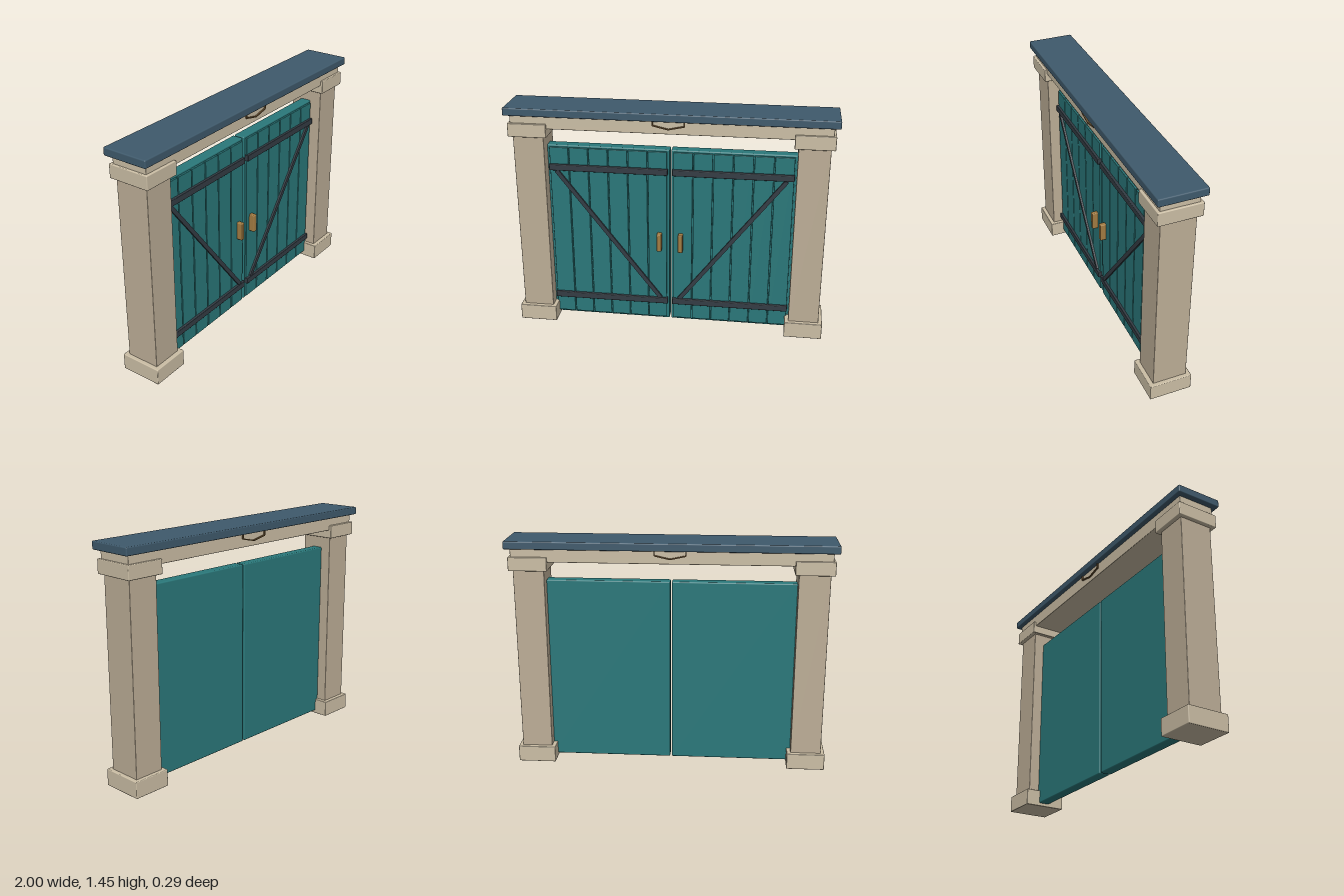
import * as THREE from 'three';
import { RoundedBoxGeometry } from 'three/addons/geometries/RoundedBoxGeometry.js';

const mat = (color) => new THREE.MeshStandardMaterial({ color, roughness: 0.85 });
const stone = mat(0xbdae97);
const trim = mat(0xcbbea5);
const slate = mat(0x3f5a6c);
const teal = mat(0x2a787a);
const iron = mat(0x343c44);
const brass = mat(0xa37c42);
const bronze = mat(0x6b5231);

// Slightly eased box given by its min and max corners
function block(parent, name, material, [x0, y0, z0], [x1, y1, z1], bevel = 0.005) {
  const geometry = new RoundedBoxGeometry(x1 - x0, y1 - y0, z1 - z0, 2, bevel);
  const mesh = new THREE.Mesh(geometry, material);
  mesh.name = name;
  mesh.position.set((x0 + x1) / 2, (y0 + y1) / 2, (z0 + z1) / 2);
  parent.add(mesh);
  return mesh;
}

// Straight bar in the xy plane from a to b
function bar(parent, name, material, a, b, width, z0, z1) {
  const dx = b[0] - a[0], dy = b[1] - a[1];
  const mesh = new THREE.Mesh(new THREE.BoxGeometry(Math.hypot(dx, dy), width, z1 - z0), material);
  mesh.name = name;
  mesh.position.set((a[0] + b[0]) / 2, (a[1] + b[1]) / 2, (z0 + z1) / 2);
  mesh.rotation.z = Math.atan2(dy, dx);
  parent.add(mesh);
}

function createPillar(side) {
  const pillar = new THREE.Group();
  pillar.name = side > 0 ? 'leftPillar' : 'rightPillar';
  block(pillar, 'pillarShaft', stone, [-0.095, 0.09, -0.106], [0.095, 1.28, 0.106], 0.003);
  block(pillar, 'pillarBase', trim, [-0.119, 0, -0.132], [0.119, 0.104, 0.132]);
  block(pillar, 'pillarCap', trim, [-0.119, 1.262, -0.132], [0.119, 1.347, 0.132]);
  pillar.position.x = side * 0.861;
  return pillar;
}

function createDoor(side) {
  const door = new THREE.Group();
  door.name = side > 0 ? 'leftDoor' : 'rightDoor';
  // Box mirrored across x = 0 for the other leaf
  const part = (name, material, x0, x1, y0, y1, z0, z1, bevel) => {
    const xs = [side * x0, side * x1].sort((a, b) => a - b);
    return block(door, name, material, [xs[0], y0, z0], [xs[1], y1, z1], bevel);
  };
  part('doorPanel', teal, 0.005, 0.768, 0.02, 1.19, -0.04, 0.03, 0.008);

  // Vertical planks with narrow gaps
  const count = 6, start = 0.018, pitch = 0.1228;
  for (let i = 0; i < count; i++) {
    const x = start + i * pitch;
    part('plank', teal, x + 0.003, x + pitch - 0.003, 0.035, 1.177, 0.02, 0.042, 0.003);
  }

  // Iron straps and diagonal brace
  for (const y of [0.14, 1.03]) {
    part('strap', iron, 0.015, 0.755, y, y + 0.04, 0.03, 0.058, 0.004);
  }
  bar(door, 'brace', iron, [side * 0.06, 0.18], [side * 0.71, 1.027], 0.026, 0.035, 0.054);
  part('handle', brass, 0.052, 0.082, 0.523, 0.642, 0.035, 0.08, 0.006);
  return door;
}

// Thin angular trim on the beam face, running up under the roof
function createBeamTrim(face) {
  const group = new THREE.Group();
  group.name = face > 0 ? 'frontBeamTrim' : 'backBeamTrim';
  const path = [[-0.095, 1.4], [-0.095, 1.368], [0, 1.347], [0.095, 1.368], [0.095, 1.4]];
  const z0 = face > 0 ? 0.11 : -0.126;
  for (let i = 0; i < path.length - 1; i++) {
    bar(group, 'trimBar', bronze, path[i], path[i + 1], 0.007, z0, z0 + 0.016);
  }
  return group;
}

export function createModel() {
  const gate = new THREE.Group();
  gate.name = 'gate';
  for (const side of [1, -1]) {
    gate.add(createPillar(side), createDoor(side), createBeamTrim(side));
  }
  block(gate, 'beam', trim, [-0.966, 1.315, -0.116], [0.966, 1.41, 0.116], 0.004);
  block(gate, 'roof', slate, [-1, 1.397, -0.145], [1, 1.446, 0.145], 0.007);
  return gate;
}
